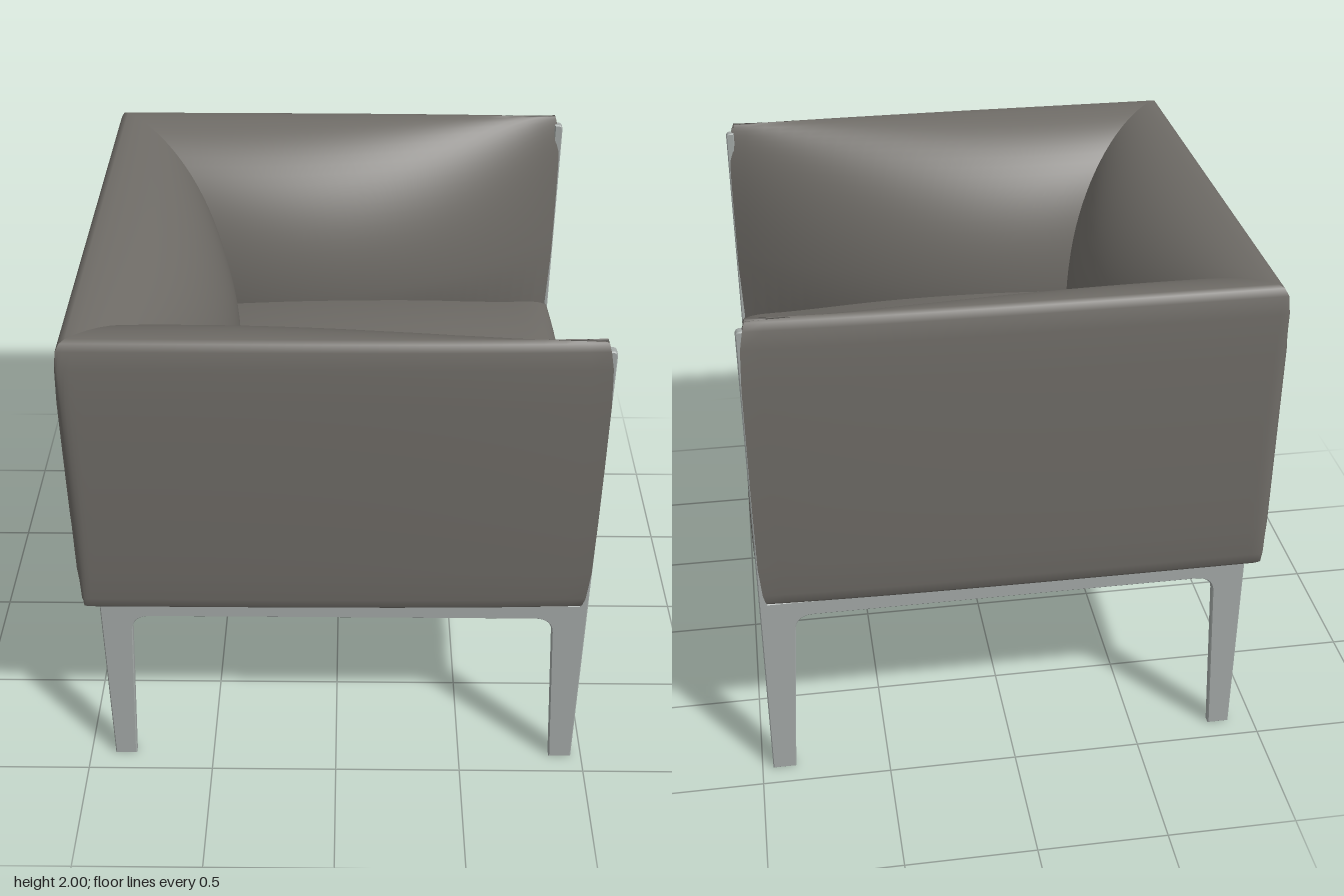
import * as THREE from 'three';

const fabric = new THREE.MeshStandardMaterial({ color: 0x6e6b66, side: THREE.DoubleSide });
fabric.name = 'warm grey fabric';
const metal = new THREE.MeshStandardMaterial({ color: 0xa3a9a7 });
metal.name = 'light grey metal';

const OUT = 0.97; // outer face of the upholstered walls
const lerp = THREE.MathUtils.lerp;

// Smooth surface from a point rule p(u, j), u in 0..1, j an index across the section
function grid(nu, nj, p) {
  const pos = [], idx = [];
  for (let i = 0; i <= nu; i++) for (let j = 0; j < nj; j++) pos.push(...p(i / nu, j));
  for (let i = 0; i < nu; i++) for (let j = 0; j < nj - 1; j++) {
    const a = i * nj + j, c = a + nj;
    idx.push(a, a + 1, c, a + 1, c + 1, c);
  }
  const g = new THREE.BufferGeometry();
  g.setAttribute('position', new THREE.Float32BufferAttribute(pos, 3));
  g.setIndex(idx);
  g.computeVertexNormals();
  return g;
}

// Wall section: [inset from the outer face, height, share of the inner bulge]
const section = [[0.06, 0.81], [0.035, 0.813], [0.02, 0.83], [0.012, 0.87], [0.004, 1.0], [0, 1.25], [0, 1.5],
  [0.004, 1.75], [0.012, 1.9], [0.022, 1.965], [0.036, 1.99]].map(([o, y]) => [o, y, 0]);
for (let k = 0; k <= 20; k++) {
  const a = (k / 20) * Math.PI / 2;
  section.push([0.055, 1.35 + 0.648 * Math.cos(a), Math.sin(a)]);
}
section.push([0.055, 0.83, 1], section[0]);

// Soft vertical edge at the rear corners
function roundCorner([x, y, z]) {
  const c = 0.91, r = 0.06, dx = -x - c, dz = Math.abs(z) - c;
  if (dx > 0 && dz > 0) {
    const k = Math.min(1, r / Math.hypot(dx, dz));
    return [-c - dx * k, y, Math.sign(z) * (c + dz * k)];
  }
  return [x, y, z];
}

const MITRE = 0.447; // bulge depth at the rear corners
function armPoint(t, j) {
  const [o, y, e] = section[j];
  const u = (lerp(0.95, -0.47, t) + 0.3) / 1.25;
  const bulge = 0.455 * (1 - 0.9 * u * u);
  const front = 0.952 - 0.03 * Math.abs((y - 1.4) / 0.6) ** 8;
  const inset = o + (e ? 0 : 0.02 * (1 - t) ** 4);
  return roundCorner([lerp(front, -(OUT - o - MITRE * e), t), y, OUT - inset - bulge * e]);
}

function backPoint(v, j) {
  const [o, y, e] = section[j];
  const s = Math.cos(v * Math.PI);
  const depth = o + (MITRE + 0.07 * (1 - s * s)) * e;
  return roundCorner([-(OUT - depth), y, s * (OUT - o - MITRE * e)]);
}

export function createModel() {
  const chair = new THREE.Group();
  chair.name = 'armchair';
  const add = (name, geo, mat, x = 0, y = 0, z = 0) => {
    const m = new THREE.Mesh(geo, mat);
    m.name = name;
    m.position.set(x, y, z);
    chair.add(m);
    return m;
  };
  const n = section.length;

  // Backrest
  add('backrest', grid(48, n, backPoint), fabric);

  // Armrests with closed front ends
  for (const side of [1, -1]) {
    const name = side > 0 ? 'left' : 'right';
    const dir = u => (side > 0 ? u : 1 - u);
    add(name + 'Armrest', grid(40, n, (u, j) => {
      const [x, y, z] = armPoint(Math.sin(dir(u) * Math.PI / 2), j);
      return [x, y, z * side];
    }), fabric);
    add(name + 'ArmrestEnd', grid(1, n, (u, j) => {
      const p = armPoint(0, j), k = dir(u);
      return [lerp(p[0], 0.952, k ? 0 : 1), lerp(1.4, p[1], k), side * lerp(0.912, p[2], k)];
    }), fabric);
  }

  // Domed seat cushion: a front-to-back profile flattened towards the sides
  const profile = new THREE.CatmullRomCurve3([
    [0.88, 0.81], [0.94, 0.825], [0.962, 0.9], [0.97, 1.02], [0.955, 1.12], [0.9, 1.19],
    [0.75, 1.255], [0.4, 1.345], [0, 1.385], [-0.4, 1.375], [-0.9, 1.3],
  ].map(([x, y]) => new THREE.Vector3(x, y, 0))).getPoints(60);
  add('seatCushion', grid(32, profile.length, (u, j) => {
    const { x, y } = profile[j], s = u * 2 - 1;
    const k = 1 - 0.65 * s * s;
    return [x - 0.012 * s ** 4, y > 1.05 ? 1.05 + (y - 1.05) * k : y, s * 0.886];
  }), fabric);

  // Underside panel
  add('seatBase', new THREE.BoxGeometry(1.8, 0.02, 1.77), fabric, 0, 0.804, 0);

  // Side frames: two tapered legs, a rail and the upright edging the armrest
  const s = new THREE.Shape();
  s.moveTo(-0.9, 0);
  s.lineTo(-0.815, 0);
  s.lineTo(-0.782, 0.68);
  s.quadraticCurveTo(-0.778, 0.748, -0.71, 0.748);
  s.lineTo(0.76, 0.748);
  s.quadraticCurveTo(0.826, 0.748, 0.83, 0.68);
  s.lineTo(0.868, 0);
  s.lineTo(0.958, 0);
  s.lineTo(0.958, 1.945);
  s.quadraticCurveTo(0.955, 1.96, 0.94, 1.96);
  s.lineTo(0.925, 1.96);
  s.lineTo(0.925, 0.815);
  s.lineTo(-0.9, 0.815);
  s.closePath();
  const frame = new THREE.ExtrudeGeometry(s, {
    depth: 0.027, bevelEnabled: true, bevelThickness: 0.004, bevelSize: 0.004, bevelOffset: -0.004,
    bevelSegments: 1, curveSegments: 8,
  });
  frame.translate(0, 0, -0.0135);
  for (const side of [1, -1]) add(side > 0 ? 'leftFrame' : 'rightFrame', frame, metal, 0, 0, side * 0.902);

  // Cross rails with small corner brackets
  for (const [name, x, inward] of [['front', 0.91, -1], ['rear', -0.87, 1]]) {
    add(name + 'CrossRail', new THREE.BoxGeometry(0.04, 0.055, 1.78), metal, x, 0.783, 0);
    for (const z of [-0.82, 0.82])
      add(name + 'Bracket', new THREE.BoxGeometry(0.06, 0.03, 0.13), metal, x + inward * 0.05, 0.78, z);
  }
  return chair;
}
